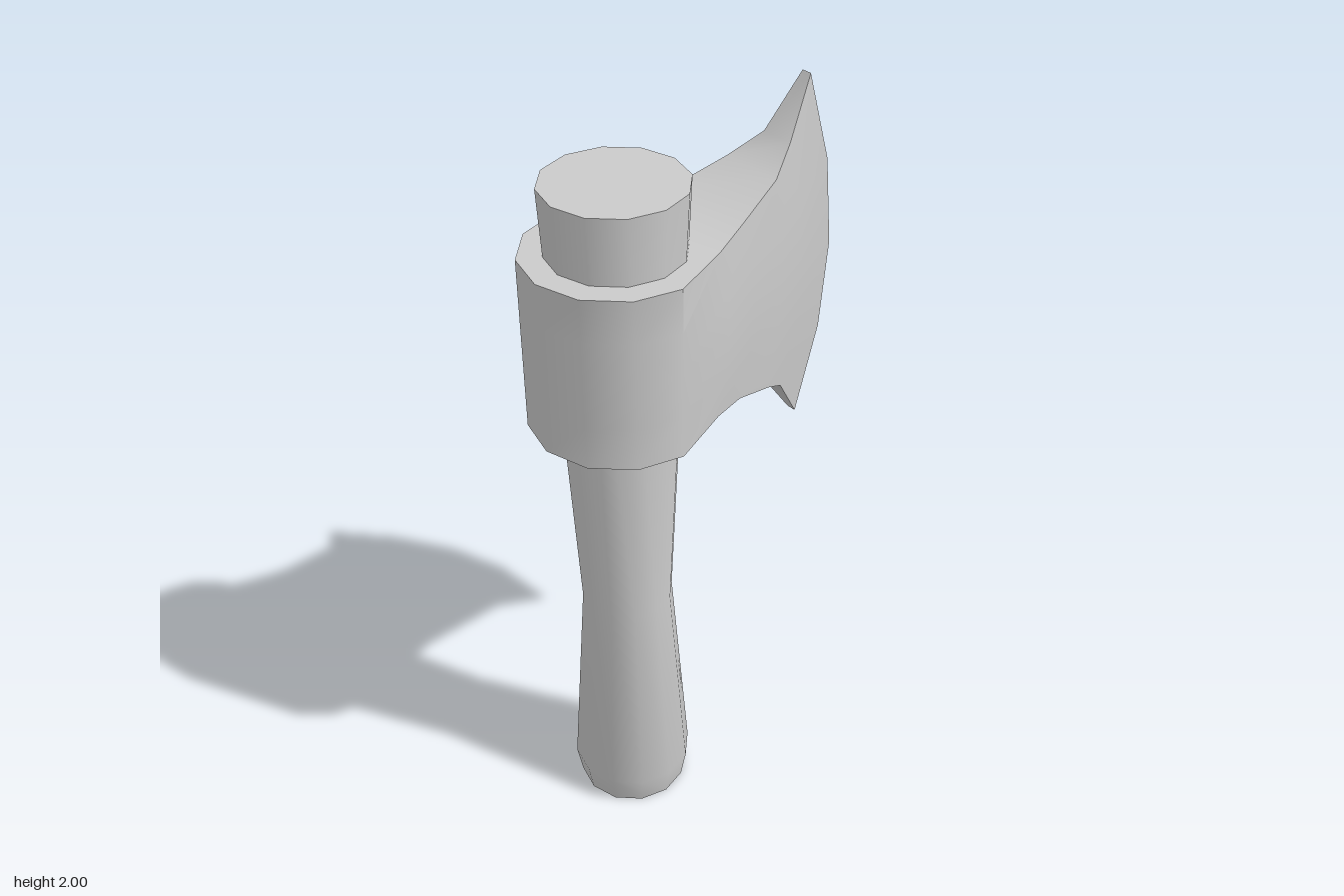
import * as THREE from 'three';
import { toCreasedNormals } from 'three/addons/utils/BufferGeometryUtils.js';

const AXIS_X = -0.235; // centre line of the handle
const MID_Y = 1.503;   // middle height of the head
const CREASE = 0.6;

// Twelve-sided turned handle, waisted in the middle
function handleGeometry() {
  const profile = [[0, 0], [0.15, 0], [0.165, 0.085], [0.122, 0.69], [0.18, 1.91], [0, 1.91]];
  const geo = new THREE.LatheGeometry(profile.map(([r, y]) => new THREE.Vector2(r, y)), 12);
  return toCreasedNormals(geo, CREASE);
}

// Round socket that tapers and flares into a curved cutting edge
function headGeometry() {
  // blade sections from the edge back: x at the tips, forward bulge, half thickness, half height
  const blade = [
    [0.368, 0.1, 0.014, 0.497],
    [0.275, 0.06, 0.046, 0.355],
    [0.19, 0.033, 0.088, 0.301],
    [0.05, 0.04, 0.126, 0.252],
    [-0.06, 0.035, 0.167, 0.233],
  ];
  const socket = [];
  for (let i = 0; i <= 6; i++) {
    const a = Math.PI / 2 + (i * Math.PI) / 6;
    socket.push([AXIS_X + 0.235 * Math.cos(a), 0, 0.235 * Math.sin(a), 0.233]);
  }
  const farSide = blade.map(([x, b, z, h]) => [x, b, -z, h]).reverse();
  const columns = [...blade, ...socket, ...farSide];
  const n = columns.length;
  const rows = 5;

  const positions = [];
  for (const [x, bulge, z, h] of columns) {
    for (let j = 0; j < rows; j++) {
      const t = (2 * j) / (rows - 1) - 1;
      positions.push(x + bulge * (1 - t * t), MID_Y + h * t, z);
    }
  }

  const index = [];
  const at = (i, j) => (i % n) * rows + j;
  // cheeks, socket back and the narrow cutting edge
  for (let i = 0; i < n; i++) {
    for (let j = 0; j < rows - 1; j++) {
      const a = at(i, j), b = at(i + 1, j), c = at(i + 1, j + 1), d = at(i, j + 1);
      index.push(b, a, d, b, d, c);
    }
  }
  // top and bottom, bridged between the two sides
  for (let i = 0; i < (n - 1) / 2; i++) {
    for (const j of [0, rows - 1]) {
      const p = at(i, j), q = at(n - 1 - i, j), r = at(n - 2 - i, j), s = at(i + 1, j);
      const tri = (u, v, w) => (j ? index.push(u, v, w) : index.push(u, w, v));
      tri(p, q, r);
      if (r !== s) tri(p, r, s);
    }
  }

  const geo = new THREE.BufferGeometry();
  geo.setAttribute('position', new THREE.Float32BufferAttribute(positions, 3));
  geo.setIndex(index);
  return toCreasedNormals(geo, CREASE);
}

export function createModel() {
  const group = new THREE.Group();
  group.name = 'axe';
  const material = new THREE.MeshStandardMaterial({ color: 0xcccccc });

  const handle = new THREE.Mesh(handleGeometry(), material);
  handle.name = 'handle';
  handle.position.x = AXIS_X;

  const head = new THREE.Mesh(headGeometry(), material);
  head.name = 'axeHead';

  group.add(handle, head);
  return group;
}
